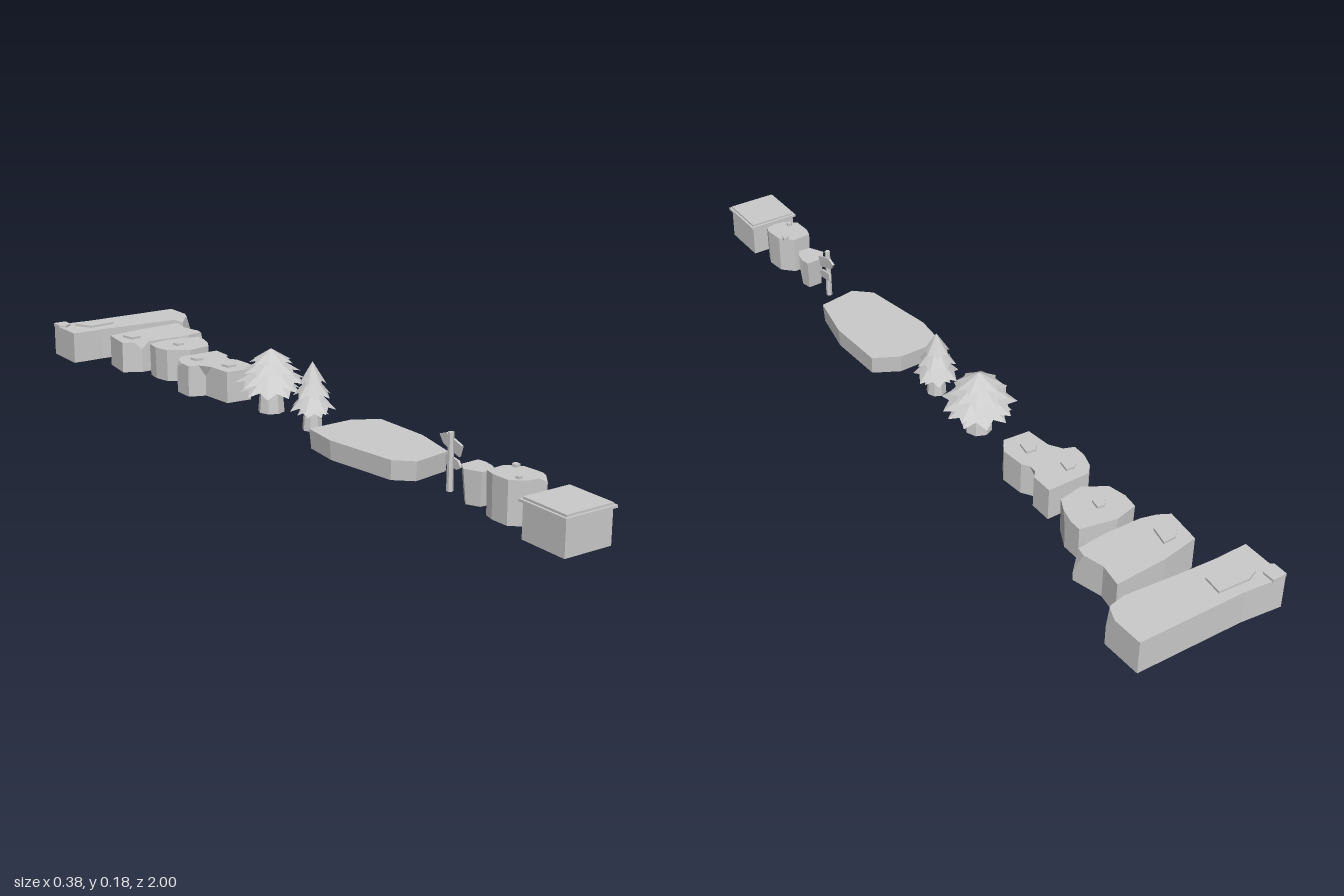
import * as THREE from 'three';

const material = new THREE.MeshStandardMaterial({ color: 0xcccccc, flatShading: true, side: THREE.DoubleSide });

function addMesh(parent, geometry, name, x = 0, y = 0, z = 0) {
  const mesh = new THREE.Mesh(geometry, material);
  mesh.name = name;
  mesh.position.set(x, y, z);
  parent.add(mesh);
  return mesh;
}

function fromTriangles(points) {
  const g = new THREE.BufferGeometry().setFromPoints(points);
  g.computeVertexNormals();
  return g;
}

// Hollow block, open below: outline of [x, z, chipDepth?], with chipped corners and scaled foot
function blockGeometry(outline, y0, y1, foot = 1) {
  const flat = outline.map(([x, z]) => new THREE.Vector2(x, z));
  const corners = THREE.ShapeUtils.isClockWise(flat) ? outline : [...outline].reverse();
  const n = corners.length;
  const cx = corners.reduce((s, p) => s + p[0], 0) / n;
  const cz = corners.reduce((s, p) => s + p[1], 0) / n;
  const rim = [], cap = [], tris = [];
  corners.forEach(([x, z, chip], i) => {
    const p = new THREE.Vector3(x, y1, z);
    if (!chip) { rim.push(p); cap.push(p); return; }
    const beside = (k) => {
      const q = new THREE.Vector3(corners[k][0], y1, corners[k][1]);
      return p.clone().lerp(q, Math.min(0.025 / p.distanceTo(q), 0.4));
    };
    const a = beside((i + n - 1) % n), b = beside((i + 1) % n);
    const low = p.clone().setY(y1 - chip);
    rim.push(a, low, b);
    cap.push(a, b);
    tris.push(a, low, b);
  });
  const down = (p) => new THREE.Vector3(cx + (p.x - cx) * foot, y0, cz + (p.z - cz) * foot);
  rim.forEach((p, i) => {
    const q = rim[(i + 1) % rim.length];
    tris.push(down(p), down(q), q, down(p), q, p);
  });
  const faces = THREE.ShapeUtils.triangulateShape(cap.map((p) => new THREE.Vector2(p.x, p.z)), []);
  for (const [i, j, k] of faces) {
    const [a, b, c] = [cap[i], cap[j], cap[k]];
    const up = (b.z - a.z) * (c.x - a.x) - (b.x - a.x) * (c.z - a.z) > 0;
    tris.push(a, up ? b : c, up ? c : b);
  }
  return fromTriangles(tris);
}

// Skirt of branches with a zigzag hem
function skirtGeometry(radius, yTip, yTop, points, turn) {
  const tris = [], n = points * 2;
  const hem = (i) => {
    const a = (i / n) * Math.PI * 2 + turn, tip = i % 2 === 0;
    const r = tip ? radius : radius * 0.76;
    return new THREE.Vector3(Math.sin(a) * r, tip ? yTip : yTip + (yTop - yTip) * 0.18, Math.cos(a) * r);
  };
  for (let i = 0; i < n; i++) tris.push(new THREE.Vector3(0, yTop, 0), hem(i), hem(i + 1));
  return fromTriangles(tris);
}

function tree(name, z, trunkRadius, trunkTop, tiers, points) {
  const g = new THREE.Group();
  g.name = name;
  g.position.z = z;
  const h = trunkTop - 0.012;
  addMesh(g, new THREE.CylinderGeometry(trunkRadius * 0.8, trunkRadius, h, 8), 'trunk', 0, 0.012 + h / 2, 0);
  tiers.forEach(([r, yTip, yTop], i) =>
    addMesh(g, skirtGeometry(r, yTip, yTop, points, (i * Math.PI) / points), 'branches'));
  return g;
}

function rock(name, outline, y0, y1, foot, slabs = []) {
  const g = new THREE.Group();
  g.name = name;
  addMesh(g, blockGeometry(outline, y0, y1, foot), 'rockBody');
  slabs.forEach((s) => addMesh(g, blockGeometry(s, y1 - 0.002, y1 + 0.006), 'raisedSlab'));
  return g;
}

// Small irregular slab around a point
const pebble = (x, z, r) => [[x - r, z - r * 0.3], [x - r * 0.3, z - r], [x + r, z - r * 0.8], [x + r * 0.7, z + r], [x - r * 0.7, z + r]];

export function createModel() {
  const model = new THREE.Group();
  model.name = 'sceneryPieces';

  // Crate with an overhanging lid
  const crate = new THREE.Group();
  crate.name = 'crate';
  crate.position.z = 0.931;
  addMesh(crate, new THREE.BoxGeometry(0.125, 0.082, 0.125), 'crateBody', 0, 0.052, 0);
  addMesh(crate, new THREE.BoxGeometry(0.138, 0.006, 0.138), 'lid', 0, 0.095, 0);
  addMesh(crate, new THREE.BoxGeometry(0.126, 0.006, 0.126), 'lidPanel', 0, 0.1, 0);
  model.add(crate);

  // Two small boulders
  model.add(rock('tallBoulder', [[-0.035, 0.724], [0.015, 0.72], [0.045, 0.75], [0.05, 0.802], [0.04, 0.828, 0.012],
    [-0.012, 0.822], [-0.04, 0.797], [-0.042, 0.75]], 0.012, 0.112, 0.97, [pebble(0.03, 0.74, 0.008), pebble(-0.015, 0.8, 0.007)]));
  model.add(rock('smallBoulder', [[-0.018, 0.622], [0.03, 0.62], [0.036, 0.655, 0.02], [0.018, 0.69],
    [-0.016, 0.688], [-0.036, 0.65]], 0.012, 0.093, 0.78));

  // Signpost with two arrow boards
  const sign = new THREE.Group();
  sign.name = 'signpost';
  sign.position.z = 0.567;
  addMesh(sign, new THREE.CylinderGeometry(0.007, 0.008, 0.135, 6), 'post', -0.003, 0.0795, 0);
  const board = (length, height) => {
    const s = new THREE.Shape([[-0.5, -0.5], [0.25, -0.5], [0.5, 0], [0.25, 0.5], [-0.5, 0.5]]
      .map(([u, v]) => new THREE.Vector2(u * length, v * height)));
    return new THREE.ExtrudeGeometry(s, { depth: 0.006, bevelEnabled: false });
  };
  const upper = addMesh(sign, board(0.075, 0.028), 'upperBoard', 0.002, 0.119, -0.01);
  upper.rotation.set(0.3, Math.PI / 2, 0, 'XYZ');
  const lower = addMesh(sign, board(0.052, 0.022), 'lowerBoard', 0.008, 0.076, 0.003);
  lower.rotation.set(0.15, -Math.PI / 2, 0, 'XYZ');
  model.add(sign);

  // Low hollow platform
  addMesh(model, blockGeometry([[-0.09, 0.153], [0.03, 0.15], [0.095, 0.185], [0.1, 0.34], [0.074, 0.465],
    [-0.026, 0.482], [-0.069, 0.443], [-0.1, 0.25]], 0.012, 0.06, 0.97), 'platform');

  // Conifers
  model.add(tree('smallConifer', 0.035, 0.025, 0.08,
    [[0.058, 0.062, 0.125], [0.048, 0.096, 0.155], [0.034, 0.128, 0.183]], 7));
  model.add(tree('largeConifer', -0.148, 0.034, 0.09,
    [[0.093, 0.088, 0.14], [0.074, 0.116, 0.158], [0.056, 0.14, 0.175]], 9));
  model.add(tree('smallConiferLowerLeaves', 0.035, 0.024, 0.06, [[0.04, 0.05, 0.1]], 7));
  model.add(tree('largeConiferLowerLeaves', -0.148, 0.033, 0.07, [[0.08, 0.062, 0.125]], 9));

  // Rock formations, growing towards the back
  model.add(rock('bentRock', [[-0.09, -0.464, 0.015], [-0.058, -0.5], [0.053, -0.5], [0.053, -0.443], [0.03, -0.42, 0.03],
    [0.05, -0.39], [0.055, -0.33], [0.032, -0.295], [-0.037, -0.3], [-0.047, -0.39, 0.03], [-0.09, -0.406]],
  0, 0.083, 1, [pebble(-0.036, -0.454, 0.016), pebble(0.0, -0.352, 0.018)]));
  model.add(rock('roundRock', [[-0.069, -0.65], [-0.01, -0.664], [0.08, -0.645], [0.08, -0.595, 0.03], [0.053, -0.543],
    [-0.01, -0.532], [-0.064, -0.565], [-0.074, -0.61]], 0, 0.087, 0.98, [pebble(-0.008, -0.602, 0.014)]));
  model.add(rock('broadRock', [[-0.11, -0.802], [-0.016, -0.818], [0.118, -0.824], [0.108, -0.765], [0.128, -0.69, 0.06],
    [0.1, -0.69], [0.06, -0.683, 0.012], [-0.02, -0.686, 0.015], [-0.074, -0.686, 0.02], [-0.121, -0.712]],
  0, 0.084, 1, [[[-0.09, -0.765], [-0.074, -0.78], [-0.042, -0.78], [-0.053, -0.733], [-0.08, -0.728]]]));
  model.add(rock('longRock', [[-0.187, -0.998], [-0.085, -0.987], [0.02, -0.985], [0.187, -0.982], [0.19, -0.88, 0.035],
    [0.153, -0.856, 0.012], [0.06, -0.864], [-0.01, -0.87], [-0.1, -0.876], [-0.187, -0.876]],
  0, 0.085, 1, [[[-0.142, -0.955], [-0.116, -0.966], [-0.037, -0.961], [-0.042, -0.913], [-0.116, -0.908], [-0.13, -0.93]],
    [[-0.19, -0.997], [-0.153, -0.997], [-0.153, -0.966], [-0.174, -0.95], [-0.19, -0.96]]]));

  return model;
}
